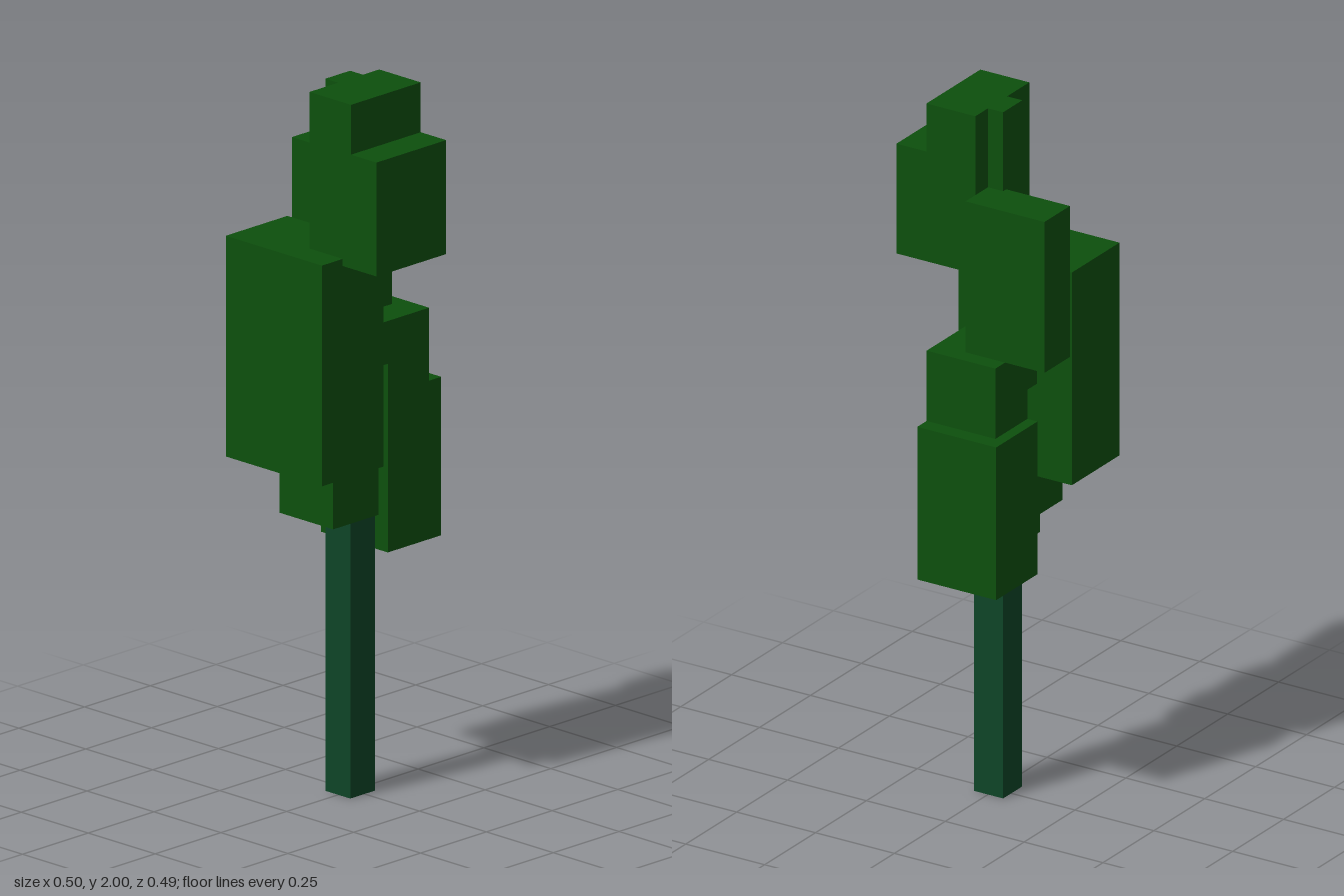
import * as THREE from 'three';

export function createModel() {
  const model = new THREE.Group();
  model.name = 'blockTree';

  const leafGreen = new THREE.MeshStandardMaterial({ color: 0x0d500d });
  leafGreen.name = 'leafGreen';
  const trunkGreen = new THREE.MeshStandardMaterial({ color: 0x0e4527 });
  trunkGreen.name = 'trunkGreen';

  // Box given by its [min, max] range on each axis
  function block(name, material, [x0, x1], [y0, y1], [z0, z1]) {
    const mesh = new THREE.Mesh(new THREE.BoxGeometry(x1 - x0, y1 - y0, z1 - z0), material);
    mesh.position.set((x0 + x1) / 2, (y0 + y1) / 2, (z0 + z1) / 2);
    mesh.name = name;
    model.add(mesh);
  }

  // Stem: dark trunk below, leafy core above
  const stemX = [-0.048, 0.045], stemZ = [-0.04, 0.054];
  block('trunk', trunkGreen, stemX, [0, 0.8], stemZ);
  block('leafCore', leafGreen, stemX, [0.8, 2], stemZ);

  // Stepped crown on the left
  block('crownTop', leafGreen, [0, 0.155], [1.86, 2], [-0.102, 0.163]);
  block('crownBase', leafGreen, [0, 0.25], [1.54, 1.86], [-0.102, 0.163]);

  // Upper right foliage
  block('rightFoliage', leafGreen, [-0.25, 0], [1.33, 1.77], [-0.15, -0.025]);

  // Front foliage with a smaller block beneath
  block('frontFoliage', leafGreen, [-0.235, 0.124], [0.94, 1.56], [0.008, 0.242]);
  block('frontLowerFoliage', leafGreen, [-0.095, 0.105], [0.8, 0.94], [0.008, 0.18]);

  // Back foliage: overhanging cap, neck and lower block
  block('backCap', leafGreen, [-0.125, 0.093], [1.21, 1.33], [-0.197, 0.008]);
  block('backNeck', leafGreen, [-0.125, 0.093], [1.125, 1.21], [-0.197, -0.04]);
  block('backLowerFoliage', leafGreen, [-0.157, 0.093], [0.68, 1.125], [-0.243, -0.04]);

  // Small tuft beside the stem
  block('sideTuft', leafGreen, [-0.11, -0.048], [0.76, 1.0], [-0.04, 0.045]);

  return model;
}
